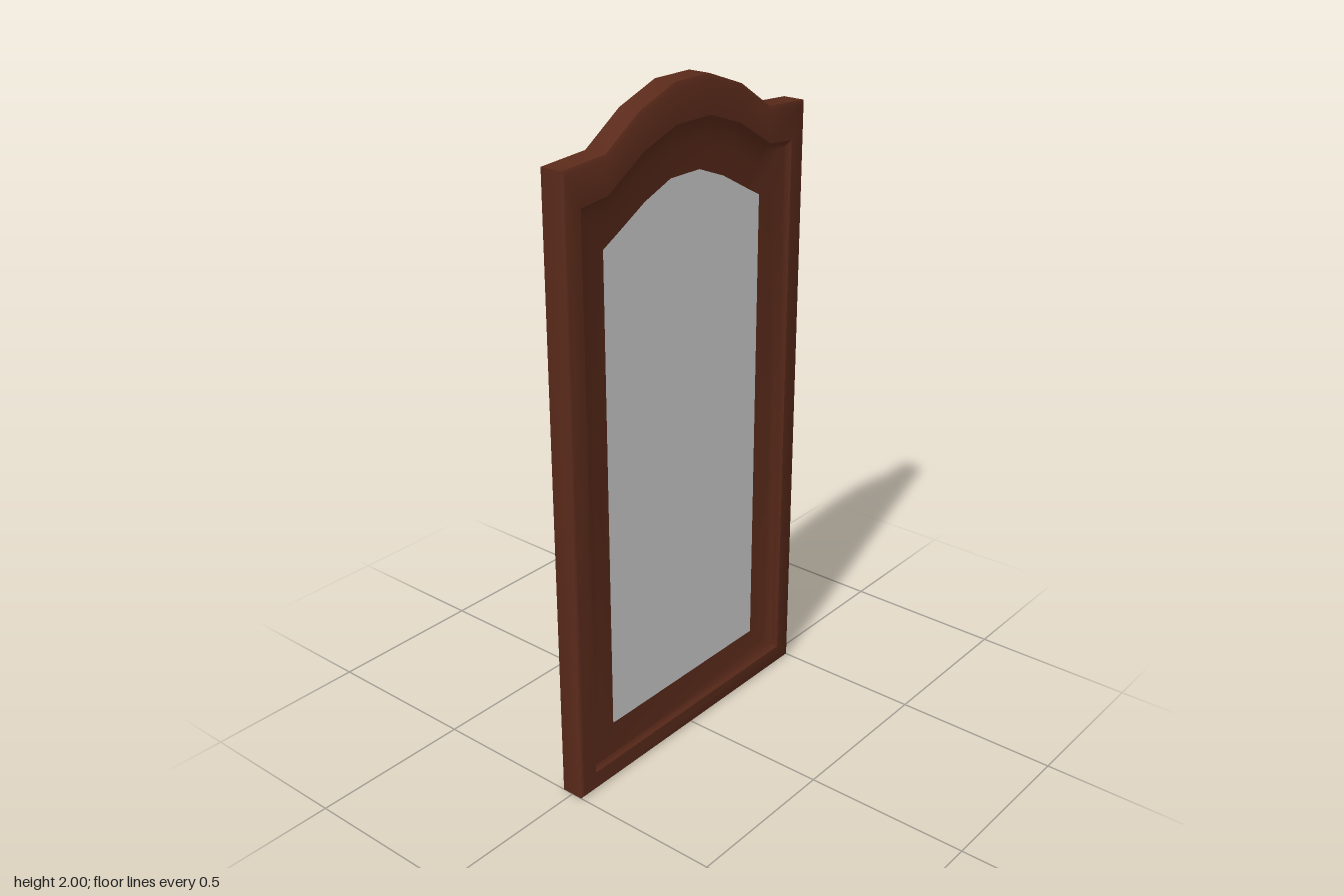
import * as THREE from 'three';
import { toCreasedNormals } from 'three/addons/utils/BufferGeometryUtils.js';

// Half outlines of the arched door as [z, y], from bottom corner to crown
const OUTER = [[0.5, 0], [0.5, 1.855], [0.34, 1.865], [0.21, 1.95], [0.07, 2]];
const INNER = [[0.44, 0.06], [0.44, 1.75], [0.34, 1.76], [0.2, 1.845], [0.07, 1.89]];
const PANEL = [[0.33, 0.16], [0.33, 1.61], [0.265, 1.645], [0.165, 1.7], [0.06, 1.74]];

// Blend two half outlines, then mirror into a closed loop (counter-clockwise from +x)
function loop(a, b, t) {
  const half = a.map((p, i) => [
    THREE.MathUtils.lerp(p[0], b[i][0], t),
    THREE.MathUtils.lerp(p[1], b[i][1], t),
  ]);
  const right = half.map(([z, y]) => [-z, y]);
  return [half[0], ...right, ...half.slice(1).reverse()];
}

// Skin a series of loops, each at its own depth x
function loft(rings) {
  const pos = [];
  const index = [];
  const n = rings[0].pts.length;
  rings.forEach(({ x, pts }) => pts.forEach(([z, y]) => pos.push(x, y, z)));
  for (let i = 0; i < rings.length - 1; i++) {
    for (let j = 0; j < n; j++) {
      const k = (j + 1) % n;
      const a = i * n + j, b = i * n + k, c = b + n, d = a + n;
      index.push(a, b, c, a, c, d);
    }
  }
  const g = new THREE.BufferGeometry();
  g.setAttribute('position', new THREE.Float32BufferAttribute(pos, 3));
  g.setIndex(index);
  return toCreasedNormals(g, 0.9);
}

export function createModel() {
  const group = new THREE.Group();
  const wood = new THREE.MeshStandardMaterial({ color: 0x5a2a1a });
  const grey = new THREE.MeshStandardMaterial({ color: 0xcccccc });
  const frontX = 0.01;
  const backX = -0.033;

  // Frame: shallow back slope, eased outer edge, flat front rim
  const frame = new THREE.Mesh(loft([
    { x: backX, pts: loop(PANEL, INNER, 0) },
    { x: -0.038, pts: loop(PANEL, INNER, 1) },
    { x: -0.04, pts: loop(OUTER, INNER, 0.12) },
    { x: -0.034, pts: loop(OUTER, INNER, 0) },
    { x: 0.034, pts: loop(OUTER, INNER, 0) },
    { x: 0.04, pts: loop(OUTER, INNER, 0.12) },
    { x: 0.04, pts: loop(OUTER, INNER, 1) },
  ]), wood);
  frame.name = 'frame';

  // Cove moulding stepping down from the rim to the panel
  const moulding = new THREE.Mesh(loft([
    { x: 0.04, pts: loop(INNER, PANEL, 0) },
    { x: 0.026, pts: loop(INNER, PANEL, 0.12) },
    { x: 0.017, pts: loop(INNER, PANEL, 0.45) },
    { x: frontX, pts: loop(INNER, PANEL, 1) },
  ]), wood);
  moulding.name = 'innerMoulding';
  group.add(frame, moulding);

  // Flat centre panel, one face per side
  const shape = new THREE.Shape(loop(PANEL, PANEL, 0).map(([z, y]) => new THREE.Vector2(-z, y)));
  for (const [name, x, side] of [['panelFront', frontX, 1], ['panelBack', backX, -1]]) {
    const panel = new THREE.Mesh(new THREE.ShapeGeometry(shape), grey);
    panel.rotation.y = side * Math.PI / 2;
    panel.position.x = x;
    panel.name = name;
    group.add(panel);
  }
  return group;
}
